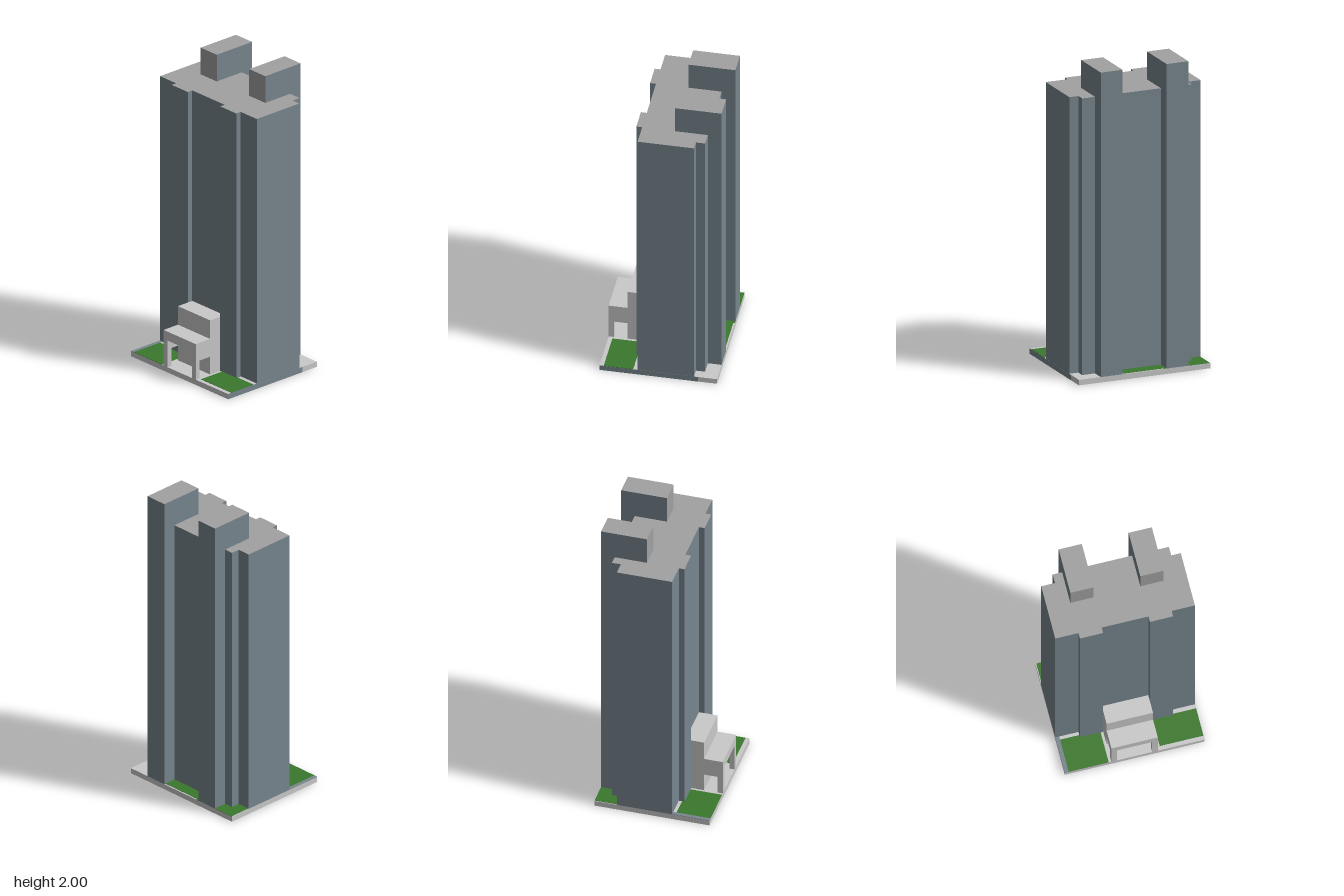
import * as THREE from 'three';

const mat = (name, color) => Object.assign(new THREE.MeshStandardMaterial({ color }), { name });

export function createModel() {
  const stone = mat('light stone', 0xc9c9c9);
  const wall = mat('blue grey wall', 0x78868e);
  const roof = mat('grey roof', 0xa1a1a1);
  const grass = mat('grass green', 0x3a782c);
  const model = new THREE.Group();
  model.name = 'towerBlock';

  const add = (name, geometry, material, parent = model) => {
    const mesh = new THREE.Mesh(geometry, material);
    mesh.name = name;
    parent.add(mesh);
    return mesh;
  };
  // Box given by its limits on each axis
  const box = (name, [x0, x1], [y0, y1], [z0, z1], material, parent) => {
    const g = new THREE.BoxGeometry(x1 - x0, y1 - y0, z1 - z0);
    g.translate((x0 + x1) / 2, (y0 + y1) / 2, (z0 + z1) / 2);
    return add(name, g, material, parent);
  };

  const BASE = 0.035, ROOF = 1.82, TOP = 2;

  // Ground slab; its +x edge is wall coloured along the tower and forecourt
  box('baseSlab', [-0.445, 0.445], [0, BASE], [-0.37, 0.37], stone);
  box('baseSideFacing', [0.445, 0.446], [0, BASE], [-0.25, 0.37], wall);

  // Lawns and paved strip, as thin plates on the slab
  const plate = [BASE, BASE + 0.002];
  box('frontRightLawn', [-0.42, -0.165], plate, [0.152, 0.37], grass);
  box('frontLeftLawn', [0.167, 0.445], plate, [0.158, 0.343], grass);
  box('backRightLawn', [-0.44, -0.297], plate, [-0.37, -0.225], grass);
  box('backLawn', [-0.148, 0.148], plate, [-0.36, -0.283], grass);
  box('backLawnCorner', [-0.148, -0.132], plate, [-0.37, -0.36], grass);
  box('sideStrip', [-0.445, -0.42], plate, [0.13, 0.37], wall);

  // Tower: stepped footprint (x, z) extruded upwards
  const footprint = [
    [-0.445, 0.13], [-0.297, 0.13], [-0.297, 0.167], [-0.149, 0.167], [-0.149, 0.13],
    [0.149, 0.13], [0.149, 0.167], [0.297, 0.167], [0.297, 0.13], [0.445, 0.13],
    [0.445, -0.225], [0.384, -0.225], [0.384, -0.283], [0.297, -0.283],
    [0.297, -0.37], [0.149, -0.37], [0.149, -0.283],
    [-0.149, -0.283], [-0.149, -0.37], [-0.297, -0.37], [-0.297, -0.283],
    [-0.357, -0.283], [-0.357, -0.225], [-0.445, -0.225],
  ];
  const shape = new THREE.Shape(footprint.map(([x, z]) => new THREE.Vector2(x, -z)));
  const tower = new THREE.ExtrudeGeometry(shape, { depth: ROOF - BASE, bevelEnabled: false });
  tower.rotateX(-Math.PI / 2).translate(0, BASE, 0);
  add('tower', tower, [roof, wall]);

  // Rooftop cores: grey top and front, wall colour on the other sides
  for (const [name, x] of [['leftRoofCore', 0.223], ['rightRoofCore', -0.223]]) {
    box(name, [x - 0.074, x + 0.074], [ROOF, TOP], [-0.37, -0.075],
      [wall, wall, roof, roof, roof, wall]);
  }

  // Entrance: tall block behind an open portico
  const entrance = new THREE.Group();
  entrance.name = 'entrance';
  model.add(entrance);
  box('entranceBlock', [-0.148, 0.148], [BASE, 0.4], [0.13, 0.25], stone, entrance);
  box('porticoCanopy', [-0.112, 0.112], [0.215, 0.275], [0.25, 0.37], stone, entrance);
  for (const [name, s] of [['left', 1], ['right', -1]]) {
    const span = (a, b) => (s > 0 ? [a, b] : [-b, -a]);
    box(name + 'PorticoLintel', span(0.112, 0.148), [0.155, 0.275], [0.25, 0.37], stone, entrance);
    box(name + 'PorticoPier', span(0.112, 0.148), [BASE, 0.155], [0.337, 0.37], stone, entrance);
  }

  return model;
}
